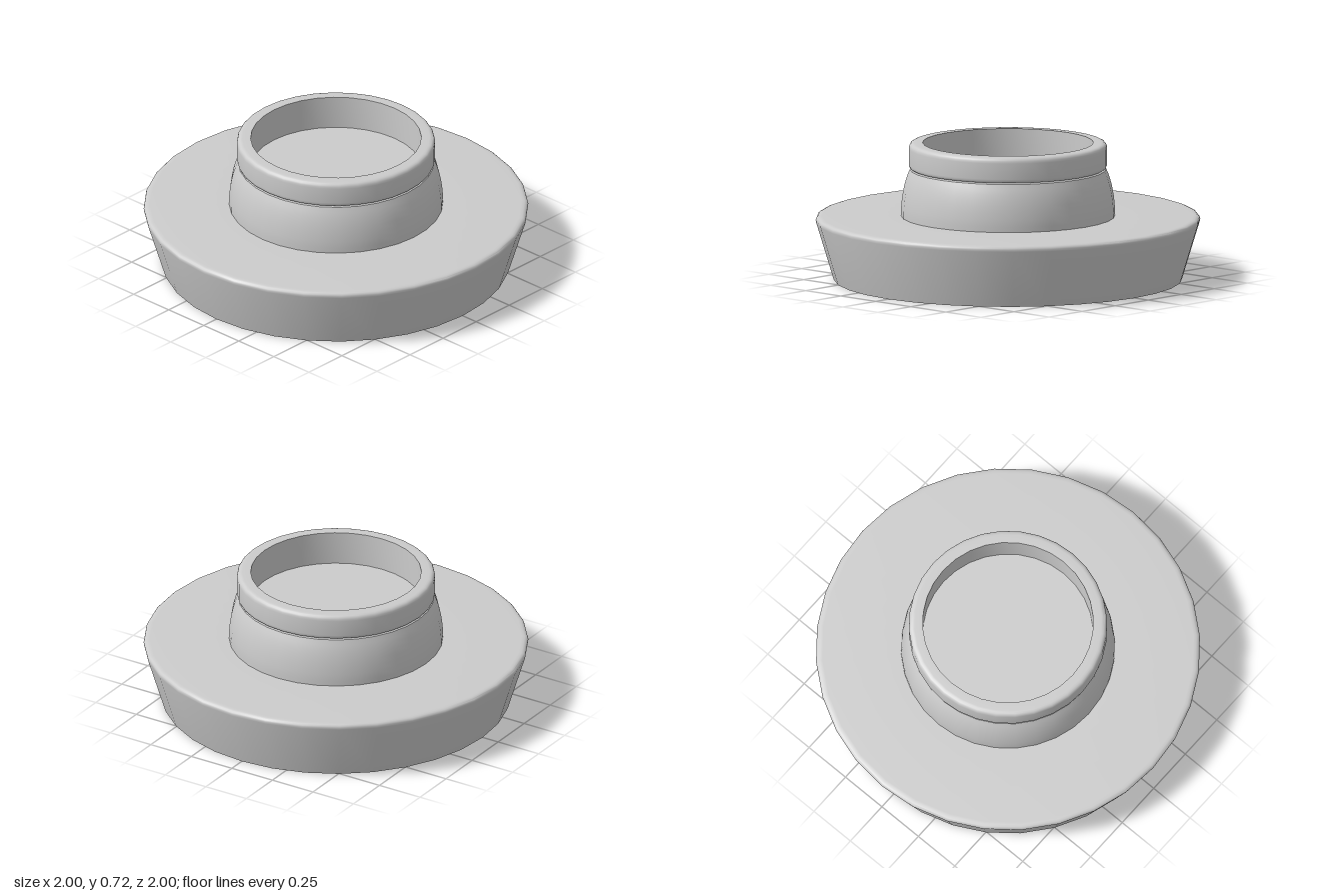
import * as THREE from 'three';
import { toCreasedNormals } from 'three/addons/utils/BufferGeometryUtils.js';

const SIDES = 32;
const material = new THREE.MeshStandardMaterial({ color: 0xcccccc });

// Points along a curve that rounds off a corner
function round(start, corner, end, steps = 5) {
  const v = (p) => new THREE.Vector2(...p);
  return new THREE.QuadraticBezierCurve(v(start), v(corner), v(end)).getPoints(steps).map((p) => [p.x, p.y]);
}

// Turned part from [radius, height] pairs, with hard edges kept sharp
function turned(name, profile) {
  const points = profile.map(([r, y]) => new THREE.Vector2(r, y));
  const geometry = toCreasedNormals(new THREE.LatheGeometry(points, SIDES), 0.65);
  const mesh = new THREE.Mesh(geometry, material);
  mesh.name = name;
  return mesh;
}

export function createModel() {
  const group = new THREE.Group();
  group.name = 'model';

  // Wide flared base with a softened upper edge
  group.add(turned('base', [
    [0, 0], [0.905, 0],
    ...round([0.997, 0.303], [1.006, 0.333], [0.965, 0.333]),
    [0.5, 0.333],
  ]));

  // Bulging neck, narrowing towards the rim
  group.add(turned('neck', [
    [0.555, 0.325],
    ...round([0.556, 0.36], [0.55, 0.49], [0.51, 0.578], 7),
    [0.495, 0.584],
  ]));

  // Rounded rim around a straight-walled recess
  group.add(turned('rim', [
    [0.495, 0.584],
    ...round([0.5, 0.584], [0.515, 0.584], [0.515, 0.605], 4),
    ...round([0.515, 0.688], [0.515, 0.717], [0.486, 0.717]),
    [0.443, 0.717], [0.443, 0.54],
  ]));

  // Flat floor of the recess
  group.add(turned('recessFloor', [[0.443, 0.54], [0, 0.54]]));

  return group;
}
